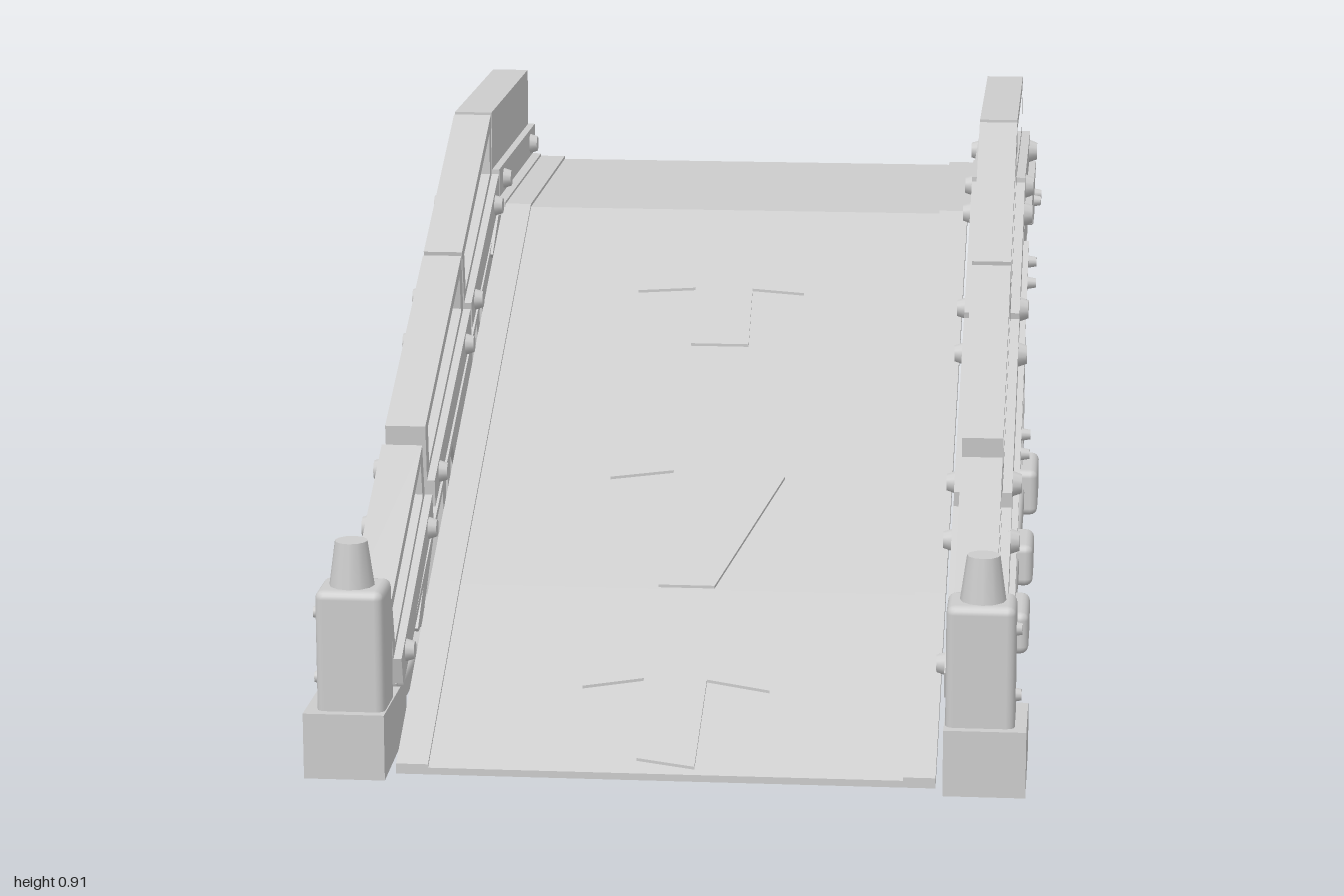
import * as THREE from 'three';
import { RoundedBoxGeometry } from 'three/addons/geometries/RoundedBoxGeometry.js';

export function createModel() {
  const model = new THREE.Group();
  model.name = 'rampBridge';
  const grey = new THREE.MeshStandardMaterial({ color: 0xcccccc });
  grey.name = 'plain grey';

  const add = (parent, name, geometry) => {
    const mesh = new THREE.Mesh(geometry, grey);
    mesh.name = name;
    parent.add(mesh);
    return mesh;
  };
  const vectors = (pts) => pts.map(([z, y]) => new THREE.Vector2(z, y));

  // Side outline given as [z, y] points, extruded across x from xa to xb
  const prism = (parent, name, pts, xa, xb, hole) => {
    const shape = new THREE.Shape(vectors(pts));
    if (hole) shape.holes.push(new THREE.Path(vectors(hole)));
    const geo = new THREE.ExtrudeGeometry(shape, { depth: Math.abs(xb - xa), bevelEnabled: false });
    geo.rotateY(-Math.PI / 2).translate(Math.max(xa, xb), 0, 0);
    return add(parent, name, geo);
  };

  // Straight bar between two [z, y] points
  const bar = (parent, name, [z0, y0], [z1, y1], width, xa, xb) => {
    const len = Math.hypot(z1 - z0, y1 - y0);
    const nz = (-(y1 - y0) / len) * width / 2, ny = ((z1 - z0) / len) * width / 2;
    prism(parent, name, [[z0 + nz, y0 + ny], [z1 + nz, y1 + ny], [z1 - nz, y1 - ny], [z0 - nz, y0 - ny]], xa, xb);
  };

  const block = (parent, name, xa, xb, y0, y1, z0, z1, radius = 0.012) => {
    const geo = new RoundedBoxGeometry(Math.abs(xb - xa), y1 - y0, Math.abs(z1 - z0), 2, radius);
    add(parent, name, geo).position.set((xa + xb) / 2, (y0 + y1) / 2, (z0 + z1) / 2);
  };

  // Bolt head pointing outward along dir on the x axis
  const bolt = (parent, x, y, z, r, dir) => {
    const geo = new THREE.CylinderGeometry(r * 0.7, r, 0.02, 12);
    geo.rotateZ(-dir * Math.PI / 2);
    add(parent, 'bolt', geo).position.set(x, y, z);
  };

  // Deck: ramp in three stretches, then a level landing
  const run = [[0.96, 0.012], [0.56, 0.225], [-0.05, 0.525], [-0.45, 0.72], [-1, 0.72]];
  const deckY = (z) => {
    for (let i = 1; i < run.length; i++) {
      const [z0, y0] = run[i - 1], [z1, y1] = run[i];
      if (z >= z1) return y0 + (y1 - y0) * (z - z0) / (z1 - z0);
    }
    return 0.72;
  };
  for (let i = 1; i < run.length; i++) {
    const [z0, y0] = run[i - 1], [z1, y1] = run[i];
    prism(model, 'deckPlate', [[z0, y0], [z1, y1], [z1, y1 - 0.018], [z0, y0 - (i === 1 ? 0.012 : 0.018)]], -0.46, 0.46);
    for (const s of [1, -1]) {
      prism(model, 'deckEdge', [[z0, y0 + 0.006], [z1, y1 + 0.006], [z1, y1], [z0, y0]], s * 0.405, s * 0.46);
    }
  }
  block(model, 'rearDeckBeam', -0.47, 0.47, 0.655, 0.718, -0.999, -0.955, 0.005);

  // Arrows lying on the ramp, as [x, z] outlines
  const arrow = (pts) => {
    const geo = new THREE.ExtrudeGeometry(new THREE.Shape(pts.map(([x, z]) => new THREE.Vector2(x, -z))), { depth: 0.005, bevelEnabled: false });
    geo.rotateX(-Math.PI / 2);
    const p = geo.attributes.position;
    for (let i = 0; i < p.count; i++) p.setY(i, p.getY(i) + deckY(p.getZ(i)) + 0.001);
    geo.computeVertexNormals();
    add(model, 'arrow', geo);
  };
  arrow([[0, 0.575], [0.165, 0.785], [0.055, 0.765], [0.05, 0.95], [-0.05, 0.935], [-0.055, 0.765], [-0.16, 0.785]]);
  arrow([[0, 0.09], [0.155, 0.285], [0.05, 0.557], [-0.05, 0.557], [-0.05, 0.275], [-0.165, 0.295]]);
  arrow([[0, -0.42], [0.155, -0.205], [0.055, -0.215], [0.06, -0.06], [-0.05, -0.06], [-0.055, -0.215], [-0.165, -0.205]]);

  // Guard panels: lower front, lower rear, upper rear, upper front corners
  const panels = [
    [[0.82, 0.115], [0.455, 0.315], [0.485, 0.46], [0.865, 0.265]],
    [[0.43, 0.33], [-0.045, 0.545], [-0.02, 0.705], [0.445, 0.485]],
    [[-0.06, 0.555], [-0.445, 0.725], [-0.44, 0.905], [-0.03, 0.71]],
    [[-0.452, 0.735], [-1, 0.735], [-1, 0.908], [-0.452, 0.908]],
  ];

  for (const s of [1, -1]) {
    const side = new THREE.Group();
    side.name = s > 0 ? 'leftSide' : 'rightSide';
    model.add(side);

    panels.forEach(([a, b, c, d], i) => {
      const at = (u, v) => [0, 1].map((k) => (a[k] * (1 - u) + b[k] * u) * (1 - v) + (d[k] * (1 - u) + c[k] * u) * v);
      const quad = (u0, u1, v0, v1) => [at(u0, v0), at(u1, v0), at(u1, v1), at(u0, v1)];
      prism(side, 'guardFrame', quad(0, 1, 0, 1), s * 0.482, s * 0.555, quad(0.06, 0.94, 0.42, 0.87));
      const inner = i === 3 ? 0.484 : 0.505;
      prism(side, 'guardInfill', quad(0.03, 0.97, 0.3, 0.95), s * inner, s * 0.53);
      prism(side, 'guardLowerRail', quad(0, 1, 0.02, 0.34), s * 0.468, s * 0.572);
      for (const u of [0.13, 0.87]) {
        const [z, y] = at(u, 0.17);
        bolt(side, s * 0.578, y, z, 0.025, s);
        bolt(side, s * 0.463, y, z, 0.022, -s);
      }
    });

    // Front foot with its marker post
    prism(side, 'frontFoot', [[1, 0], [1, 0.115], [0.82, 0.112], [0.755, 0.085], [0.765, 0.012]], s * 0.473, s * 0.612);
    block(side, 'frontPost', s * 0.475, s * 0.592, 0.1, 0.325, 0.875, 0.982, 0.015);
    const cap = new THREE.CylinderGeometry(0.028, 0.04, 0.085, 12);
    add(side, 'postCap', cap).position.set(s * 0.535, 0.36, 0.93);
    for (const y of [0.16, 0.275]) bolt(side, s * 0.592, y, 0.93, 0.014, s);

    // Stringer under the ramp and beam under the landing
    bar(side, 'stringer', [0.78, 0.085], [-0.42, 0.645], 0.05, s * 0.485, s * 0.57);
    bar(side, 'stringerLip', [0.78, 0.108], [-0.42, 0.668], 0.014, s * 0.475, s * 0.582);
    prism(side, 'landingBeam', [[-0.36, 0.64], [-0.45, 0.705], [-1, 0.705], [-1, 0.63], [-0.38, 0.63]], s * 0.47, s * 0.572);
    bar(side, 'landingLedge', [-0.44, 0.718], [-1, 0.718], 0.026, s * 0.455, s * 0.585);
    block(side, 'beamEndPlate', s * 0.48, s * 0.584, 0.62, 0.706, -0.998, -0.86, 0.006);
    for (const [z, y] of [[-0.885, 0.668], [-0.96, 0.668], [-0.325, 0.61], [-0.385, 0.64], [0.15, 0.385], [0.1, 0.41]]) {
      bolt(side, s * 0.588, y, z, 0.013, s);
    }

    // Ground beam and feet
    block(side, 'groundBeam', s * 0.497, s * 0.575, 0.022, 0.075, 0.78, -0.85);
    for (const [z0, z1, top] of [[0.2, 0.04, 0.092], [-0.27, -0.415, 0.095], [-0.82, -1, 0.108]]) {
      block(side, 'supportFoot', s * 0.468, s * 0.602, 0.012, top, z0, z1, 0.015);
    }

    // Paired uprights
    for (const [z0, z1, h0, h1] of [[0.145, 0.085, 0.37, 0.4], [-0.325, -0.395, 0.58, 0.625], [-0.895, -0.95, 0.64, 0.64]]) {
      bar(side, 'upright', [z0, 0.07], [z0, h0], 0.036, s * 0.495, s * 0.57);
      bar(side, 'upright', [z1, 0.07], [z1, h1], 0.036, s * 0.495, s * 0.57);
    }

    // Cross braces, each a pair of slim bars side by side
    const braces = [
      [[0.4, 0.235], [0.17, 0.09]], [[0.16, 0.225], [0.34, 0.075]],
      [[0.05, 0.4], [-0.28, 0.09]],
      [[-0.42, 0.6], [-0.87, 0.12]], [[-0.87, 0.6], [-0.42, 0.12]],
    ];
    braces.forEach(([p, q], i) => {
      const x = i % 2 ? 0.515 : 0.535;
      for (const o of [-0.014, 0.014]) {
        bar(side, 'brace', [p[0] + o, p[1]], [q[0] + o, q[1]], 0.018, s * x, s * (x + 0.022));
      }
    });

    // Thin closing panels behind the braces
    prism(side, 'bayPanel', [[0.04, 0.4], [-0.32, 0.575], [-0.32, 0.09], [-0.27, 0.09]], s * 0.505, s * 0.513);
    prism(side, 'bayPanel', [[-0.4, 0.635], [-0.9, 0.635], [-0.9, 0.07], [-0.4, 0.07]], s * 0.505, s * 0.513);
  }
  return model;
}
